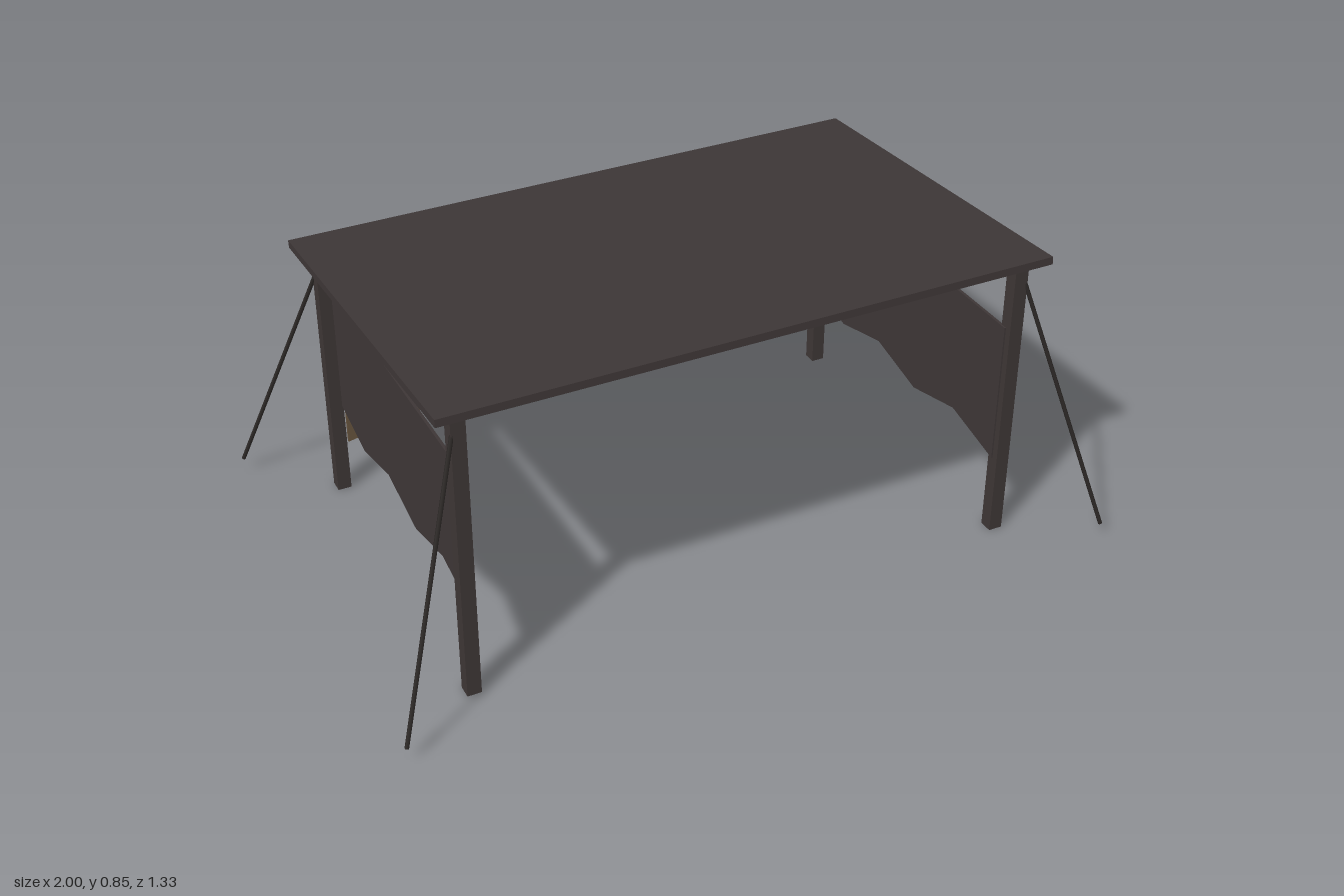
import * as THREE from 'three';

const mat = (name, color) => Object.assign(new THREE.MeshStandardMaterial({ color }), { name });

export function createModel() {
  const group = new THREE.Group();
  const wood = mat('dark wood', 0x3d3635);
  const cloth = mat('dark cloth', 0x3d3636);
  const brown = mat('brown cloth', 0x66533d);
  const rope = mat('rope', 0x2c2826);

  const add = (name, geometry, material, x = 0, y = 0, z = 0) => {
    const mesh = new THREE.Mesh(geometry, material);
    mesh.name = name;
    mesh.position.set(x, y, z);
    group.add(mesh);
    return mesh;
  };

  // Hanging cloth with a zigzag hem that starts low at its first end
  const hanging = (length, segments, top, low, high, thick) => {
    const shape = new THREE.Shape();
    shape.moveTo(-length / 2, top);
    for (let i = 0; i <= segments; i++) {
      shape.lineTo(-length / 2 + (length * i) / segments, i % 2 ? high : low);
    }
    shape.lineTo(length / 2, top);
    return new THREE.ExtrudeGeometry(shape, { depth: thick, bevelEnabled: false })
      .translate(0, 0, -thick / 2);
  };

  // Sloping flat roof, higher at the front
  const roof = add('roof', new THREE.BoxGeometry(1.655, 0.021, 1.07), cloth, 0, 0.798, 0.0075);
  roof.rotation.x = -0.07;

  const frontZ = 0.49, rearZ = -0.474, postX = 0.762;
  for (const side of [-1, 1]) {
    const label = side > 0 ? 'left' : 'right';

    // Posts and guy ropes, front and rear
    for (const [end, z, height, footX, footZ] of [
      ['Front', frontZ, 0.825, 0.993, 0.662],
      ['Rear', rearZ, 0.725, 0.987, -0.662],
    ]) {
      add(`${label}${end}Post`, new THREE.BoxGeometry(0.038, height, 0.038), wood, side * postX, height / 2, z);

      const from = new THREE.Vector3(side * 0.766, height - 0.022, z + Math.sign(z) * 0.006);
      const to = new THREE.Vector3(side * footX, 0.043, footZ);
      const line = add(`${label}${end}Rope`,
        new THREE.CylinderGeometry(0.0055, 0.0055, from.distanceTo(to), 6), rope);
      line.position.copy(from).lerp(to, 0.5);
      line.quaternion.setFromUnitVectors(new THREE.Vector3(0, 1, 0), from.sub(to).normalize());
    }

    // Side cloth between the posts, low end at the front
    const cover = add(`${label}SideCloth`, hanging(frontZ - rearZ, 5, 0.633, 0.229, 0.275, 0.008),
      cloth, side * 0.743, 0, (frontZ + rearZ) / 2);
    cover.rotation.y = Math.PI / 2;
  }

  // Lower brown cloth across the back
  add('backCloth', hanging(1.468, 6, 0.45, 0.14, 0.188, 0.008), brown, 0, 0, rearZ);

  return group;
}
